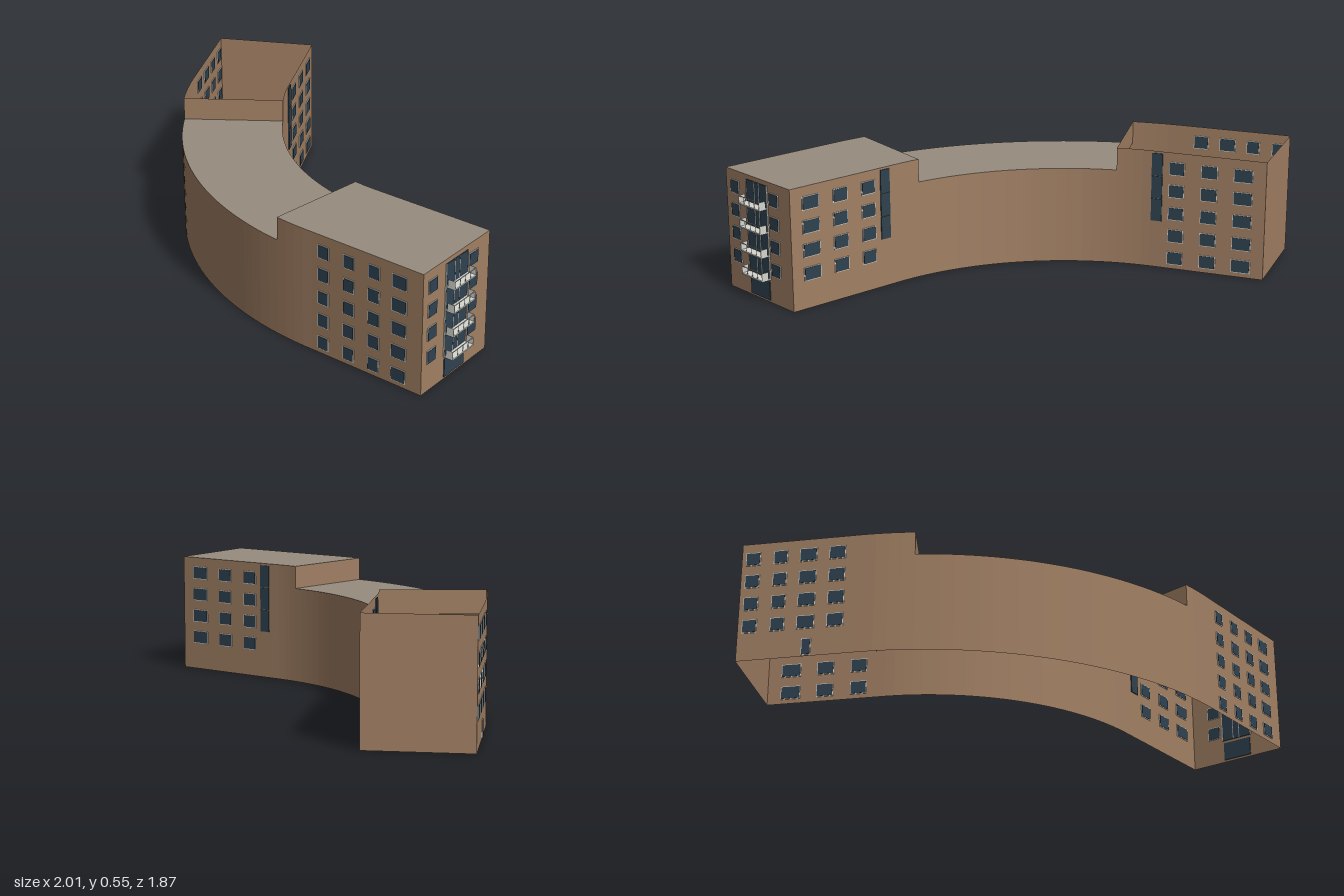
import * as THREE from 'three';

const material = (name, color, side = THREE.FrontSide) => {
  const m = new THREE.MeshStandardMaterial({ color, side });
  m.name = name;
  return m;
};

// Plan layout: a quarter-ring block between two straight wings, as [x, z]
const CENTRE = [0.654, -0.725], R_OUT = 1.572, R_IN = 1.112;
const LOW = 0.445, HIGH = 0.55;
const A_REAR = 16.1, A_STEP1 = 24.3, A_STEP2 = 72.4, A_END = 79.4;
const endOuter = [0.91, 0.935], endInner = [0.992, 0.48];
const rearOuter = [-1.0, -0.8], rearInner = [-0.556, -0.93];

const onRing = (r, deg) => {
  const a = THREE.MathUtils.degToRad(deg);
  return [CENTRE[0] - r * Math.cos(a), CENTRE[1] + r * Math.sin(a)];
};
const arc = (r, a0, a1, n) =>
  Array.from({ length: n + 1 }, (_, i) => onRing(r, a0 + ((a1 - a0) * i) / n));

// Vertical flat-shaded wall following a plan polyline
function ribbon(points, y0, y1) {
  const pos = [];
  for (let i = 0; i < points.length - 1; i++) {
    const [ax, az] = points[i], [bx, bz] = points[i + 1];
    pos.push(ax, y0, az, bx, y0, bz, bx, y1, bz, ax, y0, az, bx, y1, bz, ax, y1, az);
  }
  const g = new THREE.BufferGeometry();
  g.setAttribute('position', new THREE.Float32BufferAttribute(pos, 3));
  g.computeVertexNormals();
  return g;
}

// Flat roof over a plan outline
function slab(points, y) {
  const shape = new THREE.Shape(points.map(([x, z]) => new THREE.Vector2(x, -z)));
  return new THREE.ShapeGeometry(shape).rotateX(-Math.PI / 2).translate(0, y, 0);
}

export function createModel() {
  const root = new THREE.Group();
  root.name = 'curvedBuilding';
  const brick = material('brick', 0xa28064, THREE.DoubleSide);
  const roofing = material('roofing', 0x968c7e, THREE.DoubleSide);
  const glass = material('glass', 0x2f4250);
  const white = material('whiteFrame', 0xd6d6d0);

  const add = (parent, name, geometry, mat) => {
    const mesh = new THREE.Mesh(geometry, mat);
    mesh.name = name;
    parent.add(mesh);
    return mesh;
  };
  // Box given by its extents along the wall, upwards and outwards
  const block = (parent, name, x0, x1, y0, y1, z0, z1, mat) =>
    add(parent, name, new THREE.BoxGeometry(x1 - x0, y1 - y0, z1 - z0), mat)
      .position.set((x0 + x1) / 2, (y0 + y1) / 2, (z0 + z1) / 2);
  // Group whose x axis runs along the wall from a to b
  const facade = (name, a, b) => {
    const g = new THREE.Group();
    g.name = name;
    g.position.set(a[0], 0, a[1]);
    g.rotation.y = Math.atan2(-(b[1] - a[1]), b[0] - a[0]);
    root.add(g);
    return g;
  };
  // Framed pane set through the wall so it shows on both sides
  const pane = (wall, name, x0, x1, y0, y1) => {
    const t = 0.003;
    block(wall, name + 'Frame', x0 - t, x1 + t, y0 - t, y1 + t, -0.003, 0.003, white);
    block(wall, name + 'Glass', x0, x1, y0, y1, -0.0045, 0.0045, glass);
  };
  const windows = (wall, columns, firstFloor) => {
    for (const [x0, x1] of columns)
      for (let f = firstFloor; f < 5; f++)
        pane(wall, 'window', x0, x1, 0.024 + f * 0.106, 0.079 + f * 0.106);
  };

  // Walls
  const outerLow = arc(R_OUT, A_STEP1, A_STEP2, 24), innerLow = arc(R_IN, A_STEP1, A_STEP2, 24);
  const endOuterLine = [...arc(R_OUT, A_STEP2, A_END, 4), endOuter];
  const endInnerLine = [...arc(R_IN, A_STEP2, A_END, 4), endInner];
  const rearOuterLine = [rearOuter, ...arc(R_OUT, A_REAR, A_STEP1, 4)];
  const rearInnerLine = [rearInner, ...arc(R_IN, A_REAR, A_STEP1, 4)];
  add(root, 'curvedOuterWall', ribbon(outerLow, 0, LOW), brick);
  add(root, 'curvedInnerWall', ribbon(innerLow, 0, LOW), brick);
  add(root, 'endWingWalls', ribbon([...endOuterLine, ...endInnerLine.slice().reverse()], 0, HIGH), brick);
  add(root, 'rearWingWalls',
    ribbon([...rearOuterLine.slice().reverse(), ...rearInnerLine], 0, HIGH), brick);
  for (const a of [A_STEP1, A_STEP2])
    add(root, 'roofStepWall', ribbon([onRing(R_OUT, a), onRing(R_IN, a)], LOW, HIGH), brick);

  // Roofs; the rear wing stays open
  add(root, 'curvedRoof', slab([...outerLow, ...innerLow.slice().reverse()], LOW), roofing);
  add(root, 'endWingRoof', slab([...endOuterLine, ...endInnerLine.slice().reverse()], HIGH), roofing);

  // Long facades, measured from the free end of each wing
  const endOuterWall = facade('endWingOuterFacade', endOuter, onRing(R_OUT, A_END));
  windows(endOuterWall, [[0.08, 0.147], [0.214, 0.266], [0.342, 0.392], [0.473, 0.523]], 0);

  const rearOuterWall = facade('rearWingOuterFacade', rearOuter, onRing(R_OUT, A_REAR));
  windows(rearOuterWall, [[0.022, 0.08], [0.145, 0.2], [0.26, 0.33], [0.39, 0.455]], 1);
  pane(rearOuterWall, 'sideDoor', 0.285, 0.32, 0.008, 0.077);

  const courtColumns = [[0.063, 0.145], [0.225, 0.295], [0.378, 0.445]];
  const courts = [
    ['endWingCourtFacade', endInner, onRing(R_IN, A_END), 1],
    ['rearWingCourtFacade', rearInner, onRing(R_IN, A_REAR), 0],
  ];
  for (const [name, a, b, firstFloor] of courts) {
    const wall = facade(name, a, b);
    windows(wall, courtColumns, firstFloor);
    // Stair glazing over the three upper floors
    for (let i = 0; i < 3; i++)
      block(wall, 'stairGlazing', 0.478, 0.528, 0.222 + i * 0.107, 0.326 + i * 0.107, -0.0045, 0.0045, glass);
  }

  // Gable end: windows, glazed bay, entrance and balconies
  const gable = facade('gableFacade', endOuter, endInner);
  windows(gable, [[0.037, 0.092], [0.318, 0.376]], 1);
  block(gable, 'bayGlazing', 0.153, 0.302, 0.108, 0.53, -0.004, 0.004, glass);
  block(gable, 'entranceDoor', 0.158, 0.297, 0.01, 0.095, -0.004, 0.004, glass);
  for (const x of [0.153, 0.213, 0.245, 0.302])
    block(gable, 'bayMullion', x - 0.0015, x + 0.0015, 0.108, 0.53, -0.005, 0.0055, white);
  for (let i = 0; i < 4; i++) {
    const y = 0.105 + i * 0.107;
    block(gable, 'balconyFloor', 0.153, 0.302, y, y + 0.006, 0, 0.046, white);
    block(gable, 'balconyRail', 0.153, 0.302, y + 0.036, y + 0.039, 0.043, 0.046, white);
    for (const x of [0.153, 0.3])
      block(gable, 'balconySide', x, x + 0.002, y + 0.006, y + 0.039, 0.012, 0.046, white);
    for (const x of [0.19, 0.227, 0.264])
      block(gable, 'balconyPost', x, x + 0.002, y + 0.006, y + 0.036, 0.043, 0.045, white);
  }
  return root;
}
